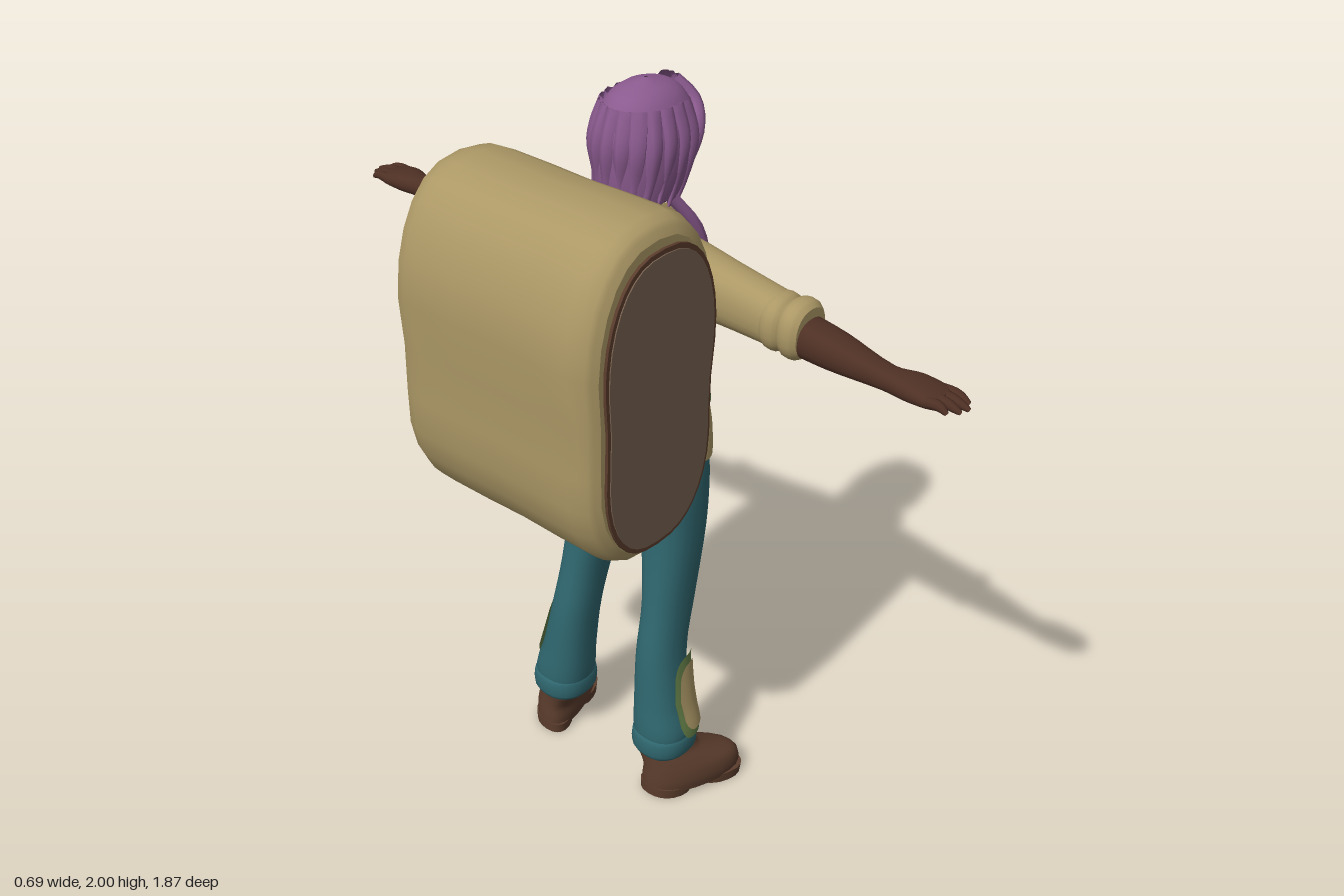
import * as THREE from 'three';

const mat = (name, color) => Object.assign(new THREE.MeshStandardMaterial({ color, side: THREE.DoubleSide }), { name });
const V = (x, y, z) => new THREE.Vector3(x, y, z);

// Cross-section body: rings [y, x, z, rx, rz]; returns (y, angle, offset) => point, angle 0 = +x, PI/2 = +z
function profile(rings, e = 2.3) {
  const last = rings.length - 1;
  const slope = (k, j) => {
    const a = rings[Math.max(k - 1, 0)], b = rings[Math.min(k + 1, last)];
    return (b[j] - a[j]) / (b[0] - a[0]);
  };
  const bend = (v) => Math.sign(v) * Math.abs(v) ** (2 / e);
  const point = (y, ang, off = 0) => {
    let k = 0;
    while (k < last - 1 && y > rings[k + 1][0]) k++;
    const h = rings[k + 1][0] - rings[k][0];
    const t = THREE.MathUtils.clamp((y - rings[k][0]) / h, 0, 1);
    const at = (j) => {
      const a = rings[k][j], b = rings[k + 1][j];
      return a * (1 + 2 * t) * (1 - t) ** 2 + b * t * t * (3 - 2 * t)
        + h * (slope(k, j) * t * (1 - t) ** 2 - slope(k + 1, j) * t * t * (1 - t));
    };
    return V(at(1) + (Math.max(at(3), 0.002) + off) * bend(Math.cos(ang)), y,
      at(2) + (Math.max(at(4), 0.002) + off) * bend(Math.sin(ang)));
  };
  point.rings = rings;
  return point;
}

function build(pos, idx) {
  const g = new THREE.BufferGeometry();
  g.setAttribute('position', new THREE.Float32BufferAttribute(pos, 3));
  g.setIndex(idx);
  g.computeVertexNormals();
  return g;
}

// Closed solid through all rings, with flat end caps
function loft(p, n = 24, steps = 4) {
  const ys = [];
  p.rings.forEach((r, k) => {
    const next = p.rings[k + 1];
    for (let s = 0; s < (next ? steps : 1); s++) ys.push(next ? r[0] + (next[0] - r[0]) * s / steps : r[0]);
  });
  const pos = [], idx = [];
  for (const y of ys) for (let i = 0; i < n; i++) pos.push(...p(y, i / n * 2 * Math.PI).toArray());
  for (let j = 0; j < ys.length - 1; j++) for (let i = 0; i < n; i++) {
    const a = j * n + i, b = j * n + (i + 1) % n;
    idx.push(a, a + n, b, b, a + n, b + n);
  }
  for (const end of [0, 1]) {
    const y = ys[end * (ys.length - 1)], c = pos.length / 3, r = p.rings[end * (p.rings.length - 1)];
    pos.push(r[1], y, r[2]);
    for (let i = 0; i < n; i++) pos.push(...p(y, i / n * 2 * Math.PI).toArray());
    for (let i = 0; i < n; i++) {
      const a = c + 1 + i, b = c + 1 + (i + 1) % n;
      end ? idx.push(c, b, a) : idx.push(c, a, b);
    }
  }
  return build(pos, idx);
}

// Thin layer over a profile, between two edges that depend on the angle
function shell(p, a0, a1, low, high, off, n = 32, rows = 10) {
  const pos = [], idx = [];
  for (let j = 0; j <= rows; j++) for (let i = 0; i <= n; i++) {
    const a = a0 + (a1 - a0) * i / n, lo = low(a);
    pos.push(...p(lo + (high(a) - lo) * j / rows, a, off).toArray());
  }
  for (let j = 0; j < rows; j++) for (let i = 0; i < n; i++) {
    const a = j * (n + 1) + i, c = a + n + 1;
    idx.push(a, c, a + 1, a + 1, c, c + 1);
  }
  return build(pos, idx);
}

// Tapering strand or finger
function strand(points, r, tip = 0.1, power = 2) {
  const curve = new THREE.CatmullRomCurve3(points);
  const g = new THREE.TubeGeometry(curve, 12, r, 8), a = g.attributes.position, v = V(0, 0, 0);
  for (let k = 0; k < a.count; k++) {
    const u = Math.floor(k / 9) / 12, c = curve.getPointAt(u);
    v.fromBufferAttribute(a, k).sub(c).multiplyScalar(1 - (1 - tip) * u ** power).add(c);
    a.setXYZ(k, v.x, v.y, v.z);
  }
  g.computeVertexNormals();
  return g;
}

function mirrored(src) {
  const g = src.clone(), ix = g.index.array;
  g.scale(1, 1, -1);
  for (let i = 0; i < ix.length; i += 3) [ix[i], ix[i + 1]] = [ix[i + 1], ix[i]];
  g.computeVertexNormals();
  return g;
}

export function createModel() {
  const root = new THREE.Group();
  root.name = 'traveller';
  const skin = mat('skin', 0x4e3024), hair = mat('hair', 0x8a5a8e), tan = mat('tan cloth', 0xac9866),
    green = mat('green cloth', 0x647f48), teal = mat('teal cloth', 0x2f666e), leather = mat('boot leather', 0x5a3c2c),
    hide = mat('pack side', 0x75604f), dark = mat('dark green', 0x3c4f2e), eye = mat('eye', 0x8c8478);
  const add = (name, g, m) => {
    const mesh = new THREE.Mesh(g, m);
    mesh.name = name;
    root.add(mesh);
    return mesh;
  };
  const pair = (name, g, m) => {
    add(name + 'Left', g, m);
    add(name + 'Right', mirrored(g), m);
  };
  const alongZ = (g) => g.rotateX(Math.PI / 2);
  const front = (a) => Math.abs(Math.atan2(Math.sin(a), Math.cos(a)));
  const TAU = 2 * Math.PI;

  // Pack: a rounded roll lying along z, pinched at the waist
  const pinch = (g) => {
    const a = g.attributes.position;
    for (let i = 0; i < a.count; i++) {
      const d = a.getX(i) + 0.11;
      a.setX(i, a.getX(i) - d * 0.1 * Math.exp(-(((a.getY(i) - 1.36) / 0.14) ** 2)));
    }
    g.computeVertexNormals();
    return g;
  };
  const packRing = (z, rx, ry) => [z, -0.108, -1.405, rx, ry];
  add('pack', pinch(alongZ(loft(profile([packRing(-0.318, 0.2, 0.4), packRing(-0.3, 0.226, 0.43), packRing(-0.24, 0.239, 0.443),
    packRing(0, 0.236, 0.44), packRing(0.24, 0.239, 0.443), packRing(0.29, 0.226, 0.43), packRing(0.308, 0.2, 0.4)], 2.5), 28, 2))), tan);
  const side = (z, rx, ry) => pinch(alongZ(loft(profile([[z - 0.008, -0.1, -1.395, rx, ry], [z, -0.1, -1.395, rx, ry]], 2.6), 40, 1)));
  pair('packStitching', side(0.32, 0.198, 0.39), leather);
  pair('packSide', side(0.323, 0.188, 0.378), hide);

  // Trousers
  const pelvis = profile([[0.96, 0.21, 0, 0.07, 0.1], [1.0, 0.21, 0, 0.098, 0.185], [1.1, 0.215, 0, 0.104, 0.19], [1.19, 0.22, 0, 0.1, 0.165]]);
  add('trouserHips', loft(pelvis), teal);
  const leg = profile([[0.16, 0.115, 0.186, 0.078, 0.074], [0.22, 0.115, 0.185, 0.082, 0.08], [0.3, 0.117, 0.172, 0.076, 0.07],
    [0.45, 0.13, 0.155, 0.074, 0.059], [0.6, 0.165, 0.145, 0.08, 0.058], [0.8, 0.2, 0.125, 0.09, 0.077], [0.95, 0.208, 0.104, 0.1, 0.095], [1.06, 0.21, 0.097, 0.097, 0.09]]);
  pair('trouserLeg', loft(leg), teal);
  pair('trouserCuff', loft(profile([[0.14, 0.115, 0.187, 0.08, 0.074], [0.155, 0.115, 0.187, 0.088, 0.083], [0.195, 0.115, 0.187, 0.088, 0.083], [0.21, 0.115, 0.187, 0.078, 0.074]]), 24, 2), teal);

  // Patches sewn on the hips and shins
  pair('hipPatch', shell(pelvis, 0.5, 1.95, (a) => 1.035 + 0.07 * Math.abs((a - 1.22) / 0.73) ** 4, () => 1.17, 0.012, 20, 6), tan);
  const patch = (w, h, off) => {
    const edge = (a) => h * Math.max(0, 1 - Math.abs((a - 1.2) / w) ** 4) ** 0.5;
    return shell(leg, 1.2 - w, 1.2 + w, (a) => 0.325 - edge(a), (a) => 0.325 + edge(a), off, 20, 8);
  };
  pair('shinPatchBorder', patch(0.68, 0.122, 0.012), green);
  pair('shinPatch', patch(0.5, 0.098, 0.016), tan);

  // Boots, toes turned out
  const turnOut = (g) => {
    const a = g.attributes.position;
    for (let i = 0; i < a.count; i++) a.setZ(i, a.getZ(i) + (a.getX(i) - 0.17) * 0.32);
    g.computeVertexNormals();
    return g;
  };
  pair('boot', turnOut(loft(profile([[0.02, 0.173, 0.238, 0.134, 0.07], [0.05, 0.174, 0.238, 0.134, 0.074], [0.085, 0.168, 0.236, 0.125, 0.07],
    [0.115, 0.138, 0.225, 0.094, 0.066], [0.14, 0.118, 0.212, 0.075, 0.064], [0.18, 0.115, 0.205, 0.068, 0.06]]))), leather);
  pair('bootHeel', turnOut(loft(profile([[0, 0.095, 0.238, 0.055, 0.058], [0.03, 0.095, 0.238, 0.056, 0.06]]), 20, 1)), leather);
  pair('bootSole', turnOut(loft(profile([[0, 0.235, 0.238, 0.07, 0.07], [0.03, 0.235, 0.238, 0.075, 0.072]]), 20, 1)), leather);

  // Shirt and waistcoat
  const torso = profile([[1.13, 0.22, 0, 0.11, 0.18], [1.2, 0.221, 0, 0.109, 0.172], [1.32, 0.22, 0, 0.105, 0.152], [1.45, 0.214, 0, 0.105, 0.152],
    [1.55, 0.2, 0, 0.1, 0.157], [1.63, 0.19, 0, 0.083, 0.138], [1.68, 0.183, 0, 0.062, 0.095], [1.7, 0.18, 0, 0.045, 0.06]]);
  const shirt = profile(torso.rings.slice(1));
  add('shirt', loft(shirt, 32), tan);
  const hem = (a) => {
    const d = front(a);
    return d < 0.35 ? 1.185 - 0.055 * d / 0.35 : Math.min(1.175, 1.13 + (d - 0.35) * 0.06);
  };
  const neckline = (a) => Math.min(1.682, 1.48 + front(a) * 0.27);
  add('waistcoat', shell(torso, -Math.PI, Math.PI, hem, neckline, 0.01, 64, 14), green);
  add('waistcoatSeam', shell(torso, -0.012, 0.012, () => 1.19, () => 1.48, 0.013, 2, 8), dark);
  for (let i = 0; i < 4; i++) {
    const b = add('button', new THREE.SphereGeometry(0.007, 8, 6), dark);
    b.position.copy(torso(1.23 + i * 0.07, 0.05, 0.012));
  }
  add('openNeck', shell(torso, -0.3, 0.3, (a) => 1.56 + front(a) * 0.25, () => 1.66, 0.004, 12, 6), skin);
  const collar = profile([[1.59, 0.21, 0, 0.093, 0.1], [1.66, 0.198, 0, 0.078, 0.085], [1.71, 0.188, 0, 0.062, 0.062]]);
  add('collar', shell(collar, 0.18, TAU - 0.18, (a) => 1.67 - 0.07 * Math.exp(-(((front(a) - 0.45) / 0.25) ** 2)),
    (a) => 1.71 - 0.06 * Math.exp(-((front(a) / 0.4) ** 2)), 0.008, 48, 5), tan);

  // Sleeves, forearms and hands
  pair('sleeve', alongZ(loft(profile([[0.06, 0.175, -1.58, 0.065, 0.075], [0.16, 0.168, -1.572, 0.073, 0.088], [0.3, 0.165, -1.565, 0.064, 0.076], [0.45, 0.165, -1.552, 0.058, 0.066]]))), tan);
  const roll = (z, r) => alongZ(loft(profile([[z, 0.165, -1.552, r - 0.01, r - 0.006], [z + 0.015, 0.165, -1.551, r, r + 0.004],
    [z + 0.04, 0.165, -1.55, r, r + 0.004], [z + 0.055, 0.165, -1.549, r - 0.012, r - 0.008]]), 24, 2));
  pair('sleeveRollInner', roll(0.42, 0.064), tan);
  pair('sleeveRollOuter', roll(0.472, 0.067), tan);
  pair('forearm', alongZ(loft(profile([[0.48, 0.167, -1.54, 0.052, 0.05], [0.6, 0.165, -1.53, 0.049, 0.043], [0.74, 0.163, -1.518, 0.033, 0.027],
    [0.8, 0.172, -1.515, 0.046, 0.027], [0.85, 0.175, -1.512, 0.048, 0.021], [0.875, 0.175, -1.51, 0.042, 0.015]]))), skin);
  for (let i = 0; i < 4; i++) {
    const x = 0.141 + i * 0.023, reach = [0.905, 0.925, 0.932, 0.918][i];
    pair('finger', strand([V(x, 1.512, 0.84), V(x, 1.514, 0.885), V(x - 0.003, 1.506, reach)], 0.014, 0.4, 3), skin);
  }
  pair('thumb', strand([V(0.19, 1.51, 0.76), V(0.222, 1.485, 0.795), V(0.242, 1.445, 0.835)], 0.02, 0.35), skin);

  // Neck, head and face
  add('neck', loft(profile([[1.58, 0.19, 0, 0.055, 0.055], [1.68, 0.19, 0, 0.046, 0.045], [1.76, 0.2, 0, 0.05, 0.048]])), skin);
  const head = profile([[1.672, 0.255, 0, 0.018, 0.016], [1.69, 0.245, 0, 0.045, 0.036], [1.73, 0.222, 0, 0.073, 0.06], [1.79, 0.208, 0, 0.094, 0.077],
    [1.86, 0.204, 0, 0.1, 0.083], [1.93, 0.2, 0, 0.09, 0.075], [1.97, 0.2, 0, 0.05, 0.04]], 2.15);
  add('head', loft(head), skin);
  add('nose', strand([V(0.292, 1.845, 0), V(0.308, 1.805, 0), V(0.308, 1.782, 0)], 0.011, 0.9), skin);
  pair('ear', new THREE.SphereGeometry(0.02, 10, 8).scale(0.8, 1.3, 0.5).translate(0.19, 1.81, 0.082), skin);
  pair('eye', shell(head, 0.27, 0.6, (a) => 1.842 - 0.008 * Math.sin((a - 0.27) / 0.33 * Math.PI), (a) => 1.842 + 0.008 * Math.sin((a - 0.27) / 0.33 * Math.PI), 0.003, 10, 2), eye);

  // Hair: ragged cap, fringe and loose locks
  const scalp = profile([[1.69, 0.17, 0, 0.09, 0.085], [1.76, 0.188, 0, 0.117, 0.104], [1.83, 0.195, 0, 0.128, 0.112], [1.9, 0.2, 0, 0.132, 0.108],
    [1.96, 0.2, 0, 0.1, 0.078], [1.985, 0.2, 0, 0.065, 0.05], [2.0, 0.2, 0, 0.004, 0.004]], 2.1);
  const fringe = (a) => {
    const t = THREE.MathUtils.smoothstep(front(a), 0.62, 1.1);
    return 1.89 - 0.15 * t - 0.03 * t * Math.abs(Math.sin(a * 5.5)) - 0.012 * (1 - t) * Math.sin(a * 9);
  };
  add('hairCap', shell(scalp, -Math.PI, Math.PI, fringe, () => 2, 0, 72, 20), hair);
  for (let i = 0; i < 13; i++) {
    const a = 1.15 + i / 12 * (TAU - 2.3), low = 1.7 + 0.018 * ((i * 7) % 3);
    add('hairLock', strand([scalp(1.95, a, -0.012), scalp(1.87, a, -0.012), scalp(1.78, a + 0.05, -0.01), scalp(low, a + 0.12, 0.006)], 0.026), hair);
  }
  for (const [a, b, low] of [[0.15, 0.95, 1.77], [0.1, 0.65, 1.83], [-0.05, -0.1, 1.86], [-0.1, -0.6, 1.84], [-0.15, -0.95, 1.77]]) {
    add('fringeLock', strand([scalp(1.97, a, -0.005), scalp(1.93, (a + b) / 2, 0.002), scalp(1.88, b, 0.002), scalp(low, b, -0.004)], 0.022), hair);
  }
  pair('longLock', strand([V(0.2, 1.73, 0.085), torso(1.65, 0.85, 0.022), torso(1.56, 0.66, 0.018), torso(1.44, 0.6, 0.016), torso(1.32, 0.56, 0.014)], 0.016, 0.5, 5), hair);

  // Flower brooch on the right breast
  const brooch = new THREE.Group();
  brooch.name = 'brooch';
  for (let i = 0; i < 5; i++) {
    const petal = new THREE.Mesh(new THREE.SphereGeometry(0.016, 8, 6).scale(0.5, 1.3, 0.8), teal);
    petal.name = 'petal';
    petal.position.set(0, 0.02 * Math.cos(i * TAU / 5), 0.02 * Math.sin(i * TAU / 5));
    petal.rotation.x = i * TAU / 5;
    brooch.add(petal);
  }
  brooch.position.copy(torso(1.5, -0.88, 0.016));
  brooch.rotation.y = 0.6;
  root.add(brooch);
  return root;
}
